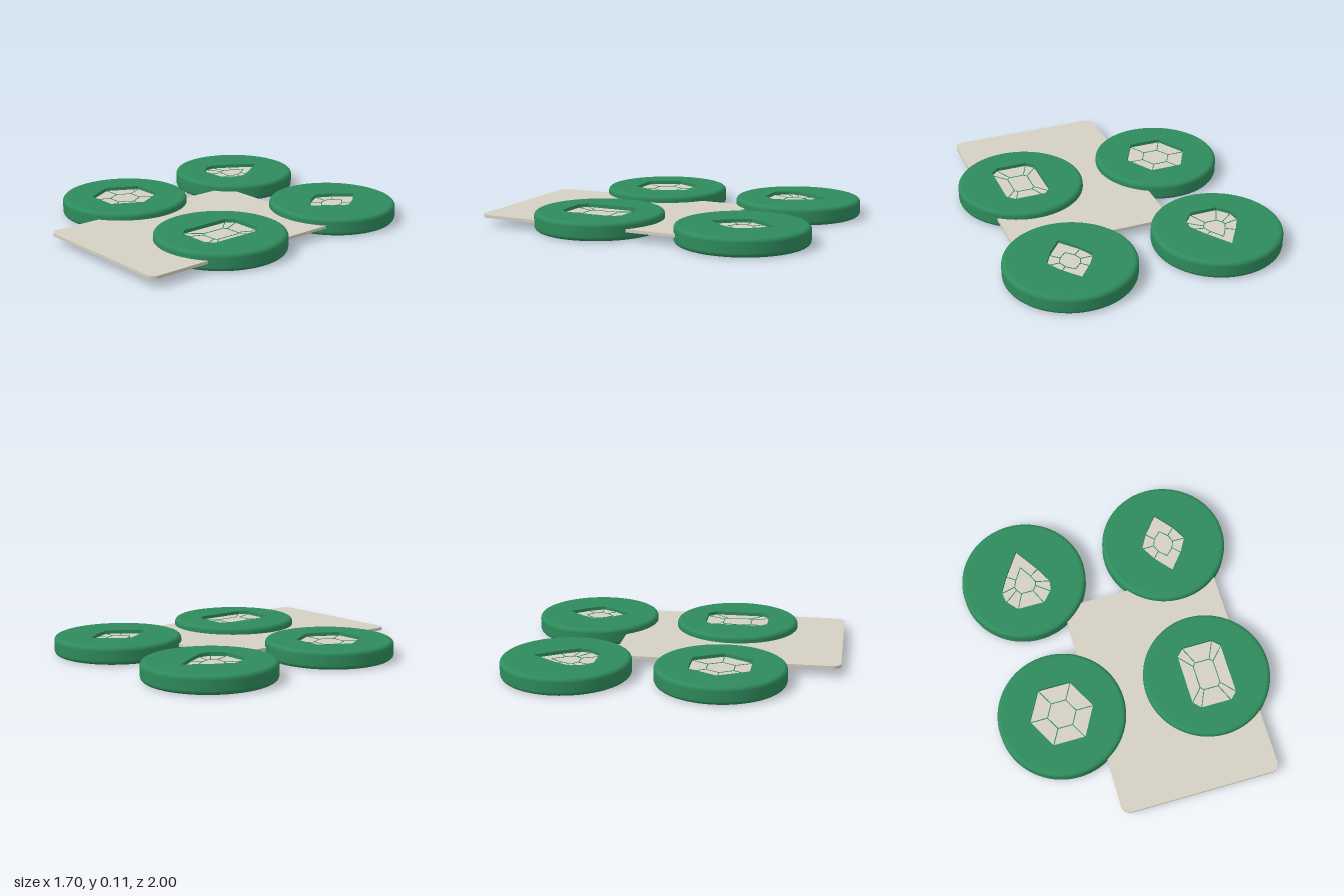
import * as THREE from 'three';

const green = new THREE.MeshStandardMaterial({ color: 0x2e8b5c });
green.name = 'green';
const cream = new THREE.MeshStandardMaterial({ color: 0xd5d0c3 });
cream.name = 'cream';

const R = 0.39, H = 0.11, ROUND = 0.026, DEPTH = 0.022;

function add(parent, name, geometry, material) {
  const mesh = new THREE.Mesh(geometry, material);
  mesh.name = name;
  parent.add(mesh);
  return mesh;
}

// Half outlines run from the back (-z) to the front on the +x side; mirror them to closed loops.
function mirrored(half) {
  const left = half.filter(([x]) => x > 0).reverse().map(([x, z]) => [-x, z]);
  return [...half, ...left];
}

const toPoints = (loop) => loop.map(([x, z]) => new THREE.Vector2(x, -z));

// Disc with rounded rim and a sunken pocket holding the faceted gem.
function makeCoaster({ name, x, z, outer, inner, spokes }) {
  const g = new THREE.Group();
  g.name = name;
  g.position.set(x, 0, z);
  const out = mirrored(outer), inn = mirrored(inner);

  // bottom, side and rounded edges
  const profile = [new THREE.Vector2(0, 0)];
  for (const [cy, start] of [[ROUND, -Math.PI / 2], [H - ROUND, 0]]) {
    for (let i = 0; i <= 6; i++) {
      const a = start + (i / 6) * Math.PI / 2;
      profile.push(new THREE.Vector2(R - ROUND + ROUND * Math.cos(a), cy + ROUND * Math.sin(a)));
    }
  }
  add(g, 'discBody', new THREE.LatheGeometry(profile, 96), green);

  // top face with the gem-shaped pocket
  const top = new THREE.Shape().absarc(0, 0, R - ROUND, 0, Math.PI * 2);
  top.holes.push(new THREE.Path(toPoints(out)));
  const topGeo = new THREE.ExtrudeGeometry(top, { depth: DEPTH, bevelEnabled: false, curveSegments: 48 });
  add(g, 'discTop', topGeo.rotateX(-Math.PI / 2).translate(0, H - DEPTH, 0), green);

  // gem inlay on the pocket floor
  const floor = new THREE.ShapeGeometry(new THREE.Shape(toPoints(out)));
  add(g, 'gemInlay', floor.rotateX(-Math.PI / 2).translate(0, H - DEPTH + 0.001, 0), cream);

  // thin lines between the facets
  const line = ([ax, az], [bx, bz]) => {
    const geo = new THREE.BoxGeometry(Math.hypot(bx - ax, bz - az), 0.002, 0.005);
    const mesh = add(g, 'facetLine', geo, green);
    mesh.position.set((ax + bx) / 2, H - DEPTH + 0.002, (az + bz) / 2);
    mesh.rotation.y = -Math.atan2(bz - az, bx - ax);
  };
  inn.forEach((p, i) => {
    line(p, inn[(i + 1) % inn.length]);
    if (spokes(p)) line(p, out[i]);
  });
  return g;
}

const coasters = [
  {
    name: 'pearCoaster', x: -0.46, z: -0.61,
    outer: [[0, -0.198], [0.1, -0.05], [0.155, 0.05], [0.145, 0.12], [0.085, 0.188]],
    inner: [[0, -0.09], [0.048, -0.015], [0.068, 0.03], [0.062, 0.055], [0.037, 0.085]],
    spokes: ([x]) => x !== 0,
  },
  {
    name: 'marquiseCoaster', x: 0.46, z: -0.61,
    outer: [[0, -0.198], [0.09, -0.09], [0.14, 0], [0.09, 0.09], [0, 0.198]],
    inner: [[0, -0.088], [0.045, -0.045], [0.063, 0], [0.045, 0.045], [0, 0.088]],
    spokes: ([x]) => x !== 0,
  },
  {
    name: 'hexagonCoaster', x: -0.46, z: 0.31,
    outer: [[0.1, -0.18], [0.198, 0], [0.1, 0.18]],
    inner: [[0.046, -0.081], [0.09, 0], [0.046, 0.081]],
    spokes: () => true,
  },
  {
    name: 'emeraldCoaster', x: 0.46, z: 0.31,
    outer: [[0.095, -0.2], [0.14, -0.155], [0.14, 0.155], [0.095, 0.2]],
    inner: [[0.045, -0.09], [0.064, -0.071], [0.064, 0.071], [0.045, 0.09]],
    spokes: () => true,
  },
];

// Thin card with rounded corners
function makeCard() {
  const w = 0.975, l = 1.37, r = 0.055, t = 0.018;
  const s = new THREE.Shape();
  const corners = [[1, 1], [-1, 1], [-1, -1], [1, -1]];
  corners.forEach(([sx, sy], i) => {
    const a = i * Math.PI / 2;
    s.absarc(sx * (w / 2 - r), sy * (l / 2 - r), r, a, a + Math.PI / 2);
  });
  s.closePath();
  const geo = new THREE.ExtrudeGeometry(s, { depth: t, bevelEnabled: false, curveSegments: 10 });
  return geo.rotateX(-Math.PI / 2).translate(0.2175, 0.048, 0.315);
}

export function createModel() {
  const model = new THREE.Group();
  model.name = 'coasterSet';
  coasters.forEach((c) => model.add(makeCoaster(c)));
  add(model, 'card', makeCard(), cream);
  return model;
}
